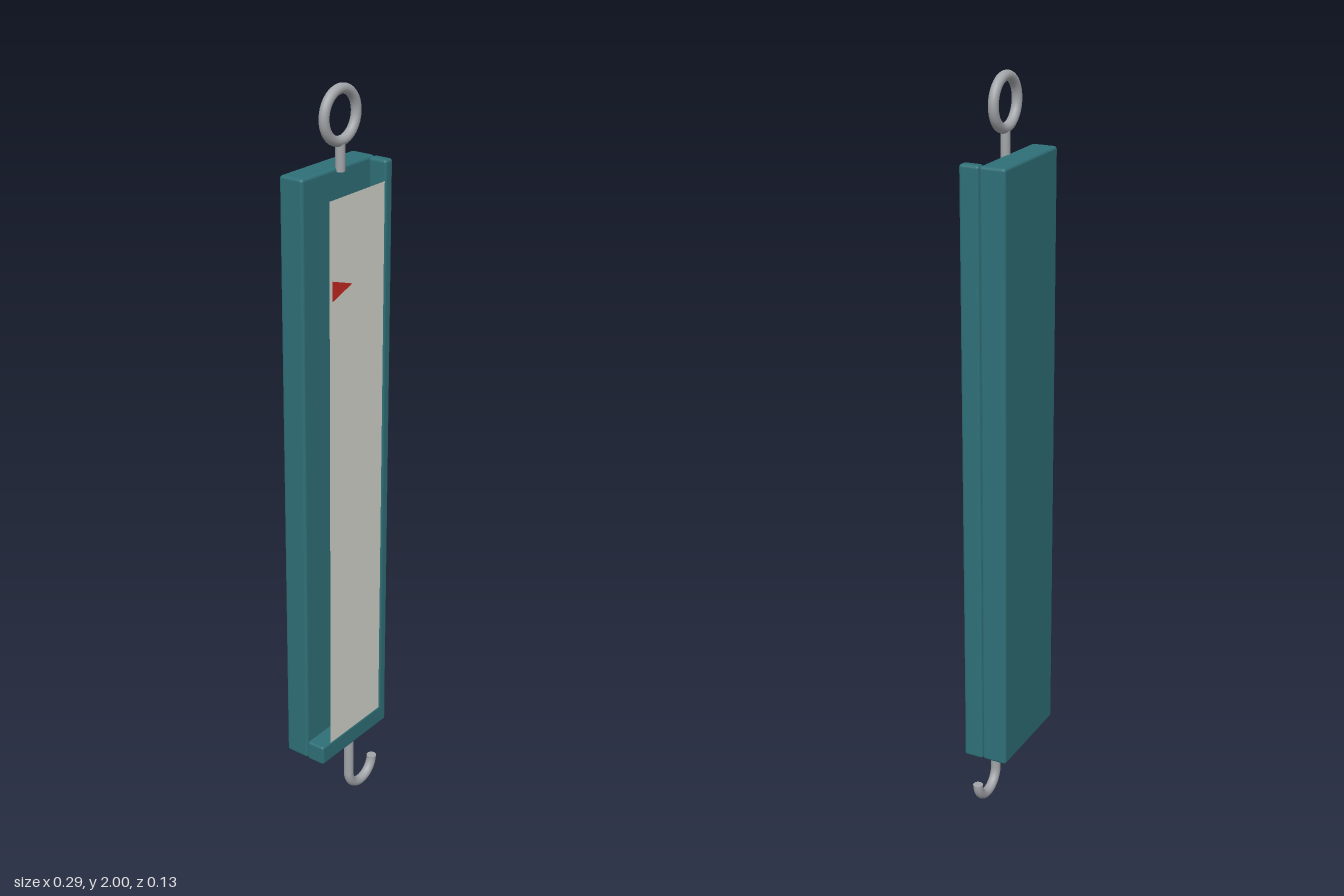
import * as THREE from 'three';
import { RoundedBoxGeometry } from 'three/addons/geometries/RoundedBoxGeometry.js';

export function createModel() {
  const model = new THREE.Group();
  model.name = 'hangingScale';

  const mat = (color, side = THREE.FrontSide) => new THREE.MeshStandardMaterial({ color, side });
  const teal = mat(0x2f6f77);
  const steel = mat(0xa2a5a9);
  const ivory = mat(0xd3d4cb, THREE.DoubleSide);
  const red = mat(0xc62822, THREE.DoubleSide);

  const add = (name, geometry, material, x = 0, y = 0, z = 0) => {
    const mesh = new THREE.Mesh(geometry, material);
    mesh.name = name;
    mesh.position.set(x, y, z);
    model.add(mesh);
    return mesh;
  };

  // Housing: back slab and one full-height rail on the left
  add('backBody', new RoundedBoxGeometry(0.286, 1.62, 0.07, 3, 0.008), teal, 0, 0.99, -0.031);
  add('sideRail', new RoundedBoxGeometry(0.03, 1.62, 0.054, 3, 0.008), teal, 0.128, 0.99, 0.031);

  // Bottom ledge, drilled so the hook rod can slide through it
  const w = 0.143, d = 0.027, r = 0.007, bevel = 0.006;
  const ledge = new THREE.Shape();
  ledge.moveTo(-w + r, -d);
  ledge.lineTo(w - r, -d);
  ledge.absarc(w - r, -d + r, r, -Math.PI / 2, 0);
  ledge.absarc(w - r, d - r, r, 0, Math.PI / 2);
  ledge.absarc(-w + r, d - r, r, Math.PI / 2, Math.PI);
  ledge.absarc(-w + r, -d + r, r, Math.PI, Math.PI * 1.5);
  const hole = new THREE.Path();
  hole.absarc(0, -0.006, 0.016, 0, Math.PI * 2, true);
  ledge.holes.push(hole);
  const ledgeGeometry = new THREE.ExtrudeGeometry(ledge, {
    depth: 0.055 - 2 * bevel, bevelThickness: bevel, bevelSize: bevel,
    bevelOffset: -bevel, bevelSegments: 3, curveSegments: 16,
  });
  ledgeGeometry.rotateX(-Math.PI / 2);
  add('bottomLedge', ledgeGeometry, teal, 0, 0.18 + bevel, 0.031);

  // Thin dial plate and the pointer floating just in front of it
  add('dialPlate', new THREE.PlaneGeometry(0.218, 1.515), ivory, 0, 0.9925, 0.058);
  const arrow = new THREE.Shape([
    new THREE.Vector2(-0.108, -0.026),
    new THREE.Vector2(-0.03, 0),
    new THREE.Vector2(-0.108, 0.026),
  ]);
  add('pointer', new THREE.ShapeGeometry(arrow), red, 0, 1.53, 0.066);

  // Hanging ring and its stem
  add('hangingRing', new THREE.TorusGeometry(0.062, 0.013, 16, 48), steel, 0, 1.925, 0.006);
  add('ringStem', new THREE.CylinderGeometry(0.012, 0.012, 0.075, 20), steel, 0, 1.8275, 0.006);

  // Hook: straight rod followed by a half-circle bend
  const bend = 0.0535, wire = 0.0135, z = 0.037;
  const top = 0.235, low = bend + wire;
  add('hookRod', new THREE.CylinderGeometry(wire, wire, top - low, 20), steel, 0, (top + low) / 2, z);
  const hook = add('hookBend', new THREE.TorusGeometry(bend, wire, 16, 32, Math.PI), steel, bend, low, z);
  hook.rotation.z = Math.PI;
  const tip = add('hookTip', new THREE.CircleGeometry(wire, 20), steel, 2 * bend, low, z);
  tip.rotation.x = -Math.PI / 2;

  return model;
}
